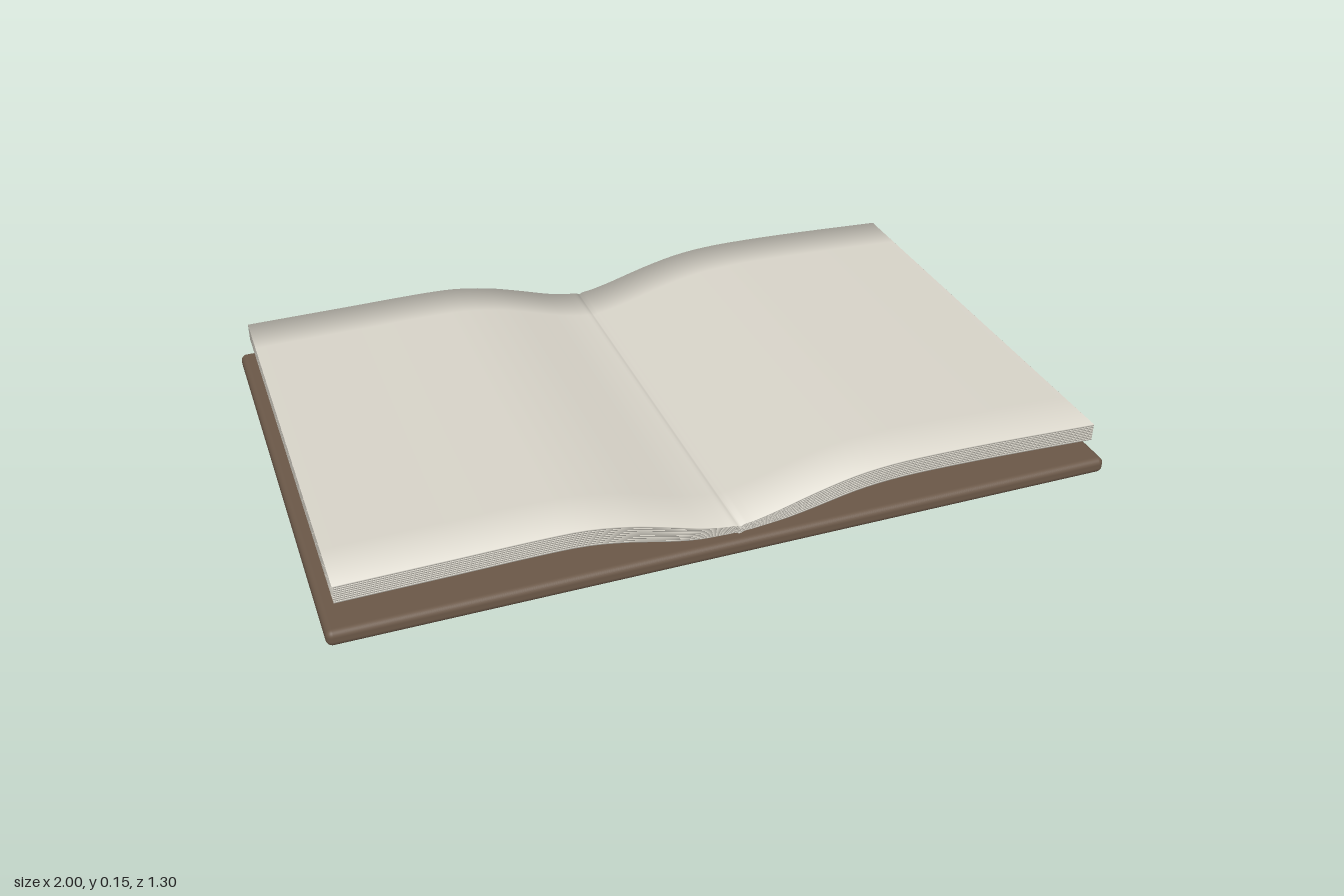
import * as THREE from 'three';
import { RoundedBoxGeometry } from 'three/addons/geometries/RoundedBoxGeometry.js';

const paper = new THREE.MeshStandardMaterial({ color: 0xd8d4c9 });
paper.name = 'paper';
const leather = new THREE.MeshStandardMaterial({ color: 0x6b5848 });
leather.name = 'leather';

// Top line of the open pages, from the right page edge over the gutter to the left
const PROFILE = [
  [-0.97, 0.145], [-0.94, 0.146], [-0.7, 0.149], [-0.5, 0.152], [-0.38, 0.149], [-0.28, 0.133],
  [-0.2, 0.112], [-0.1, 0.082], [-0.04, 0.07], [-0.012, 0.067], [0, 0.062], [0.012, 0.067],
  [0.04, 0.071], [0.1, 0.086], [0.2, 0.115], [0.3, 0.138], [0.4, 0.149], [0.52, 0.151],
  [0.7, 0.147], [0.94, 0.137], [0.97, 0.136],
].map(([x, y]) => new THREE.Vector2(x, y));
const STATIONS = new THREE.SplineCurve(PROFILE).getPoints((PROFILE.length - 1) * 3);
const ROWS = [-0.62, -0.48, 0.48, 0.62];
const LEAVES = 9;

// The block of pages is pinched at the gutter
const thickness = (x) => 0.047 - 0.026 * Math.exp(-((x / 0.13) ** 2));

// One leaf: a thin closed ribbon whose normals roll softly over the rim
function leafGeometry(t0, t1) {
  const pos = [], nor = [], idx = [];
  const last = STATIONS.length - 1;
  STATIONS.forEach((p, i) => {
    const a = STATIONS[Math.max(i - 1, 0)], b = STATIONS[Math.min(i + 1, last)];
    const up = new THREE.Vector3(a.y - b.y, b.x - a.x, 0).normalize();
    const endX = i === 0 ? -1 : i === last ? 1 : 0;
    for (let j = 0; j < 8; j++) {
      const top = j < 4;
      const z = ROWS[top ? j : 7 - j];
      const endZ = Math.abs(z) > 0.6 ? Math.sign(z) : 0;
      const n = up.clone().multiplyScalar(top ? 1 : -1);
      n.add(new THREE.Vector3(endX, 0, endZ)).normalize();
      pos.push(p.x, p.y - (top ? t0 : t1) * thickness(p.x), z);
      nor.push(n.x, n.y, n.z);
    }
  });
  // Skin around the ribbon
  for (let i = 0; i < last; i++) {
    for (let j = 0; j < 8; j++) {
      const k = (j + 1) % 8;
      const a = i * 8 + j, b = i * 8 + k, c = a + 8, d = b + 8;
      idx.push(a, b, c, c, b, d);
    }
  }
  // Caps at the two outer edges
  for (let j = 0; j < 3; j++) {
    const e = last * 8;
    idx.push(e + 7 - j, e + j, e + j + 1, e + 7 - j, e + j + 1, e + 6 - j);
    idx.push(7 - j, j + 1, j, 7 - j, 6 - j, j + 1);
  }
  const g = new THREE.BufferGeometry();
  g.setAttribute('position', new THREE.Float32BufferAttribute(pos, 3));
  g.setAttribute('normal', new THREE.Float32BufferAttribute(nor, 3));
  g.setIndex(idx);
  return g;
}

export function createModel() {
  const book = new THREE.Group();
  book.name = 'openBook';

  // Flat cover board with rounded edges
  const cover = new THREE.Mesh(new RoundedBoxGeometry(2, 0.042, 1.3, 4, 0.016), leather);
  cover.name = 'cover';
  cover.position.y = 0.021;
  book.add(cover);

  // Stack of leaves
  const pages = new THREE.Group();
  pages.name = 'pages';
  for (let i = 0; i < LEAVES; i++) {
    const leaf = new THREE.Mesh(leafGeometry(i / LEAVES, (i + 0.94) / LEAVES), paper);
    leaf.name = 'leaf' + (i + 1);
    pages.add(leaf);
  }
  book.add(pages);
  return book;
}
